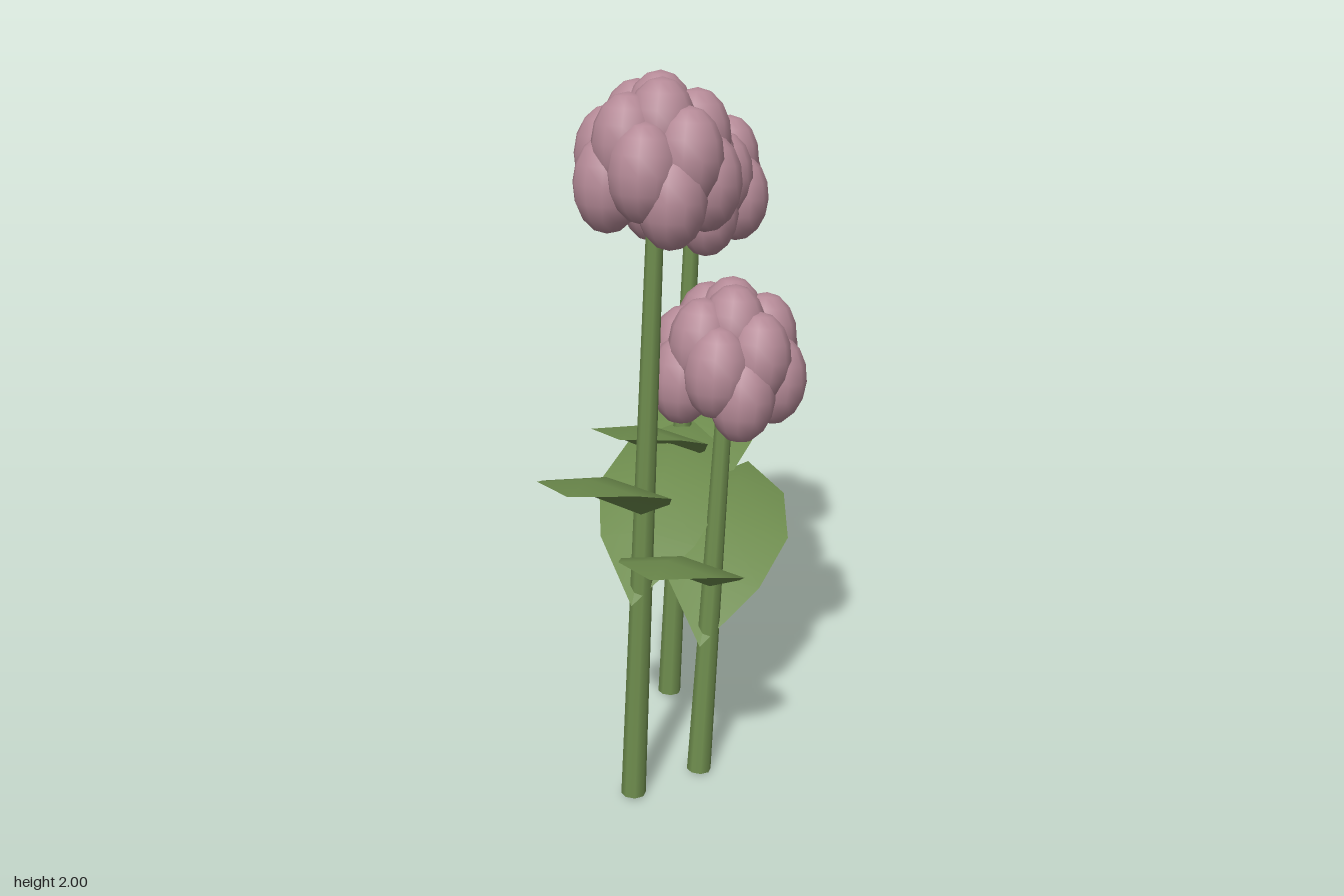
import * as THREE from 'three';

const petalPink = new THREE.MeshStandardMaterial({ color: 0xb58a97 });
petalPink.name = 'petalPink';
const leafGreen = new THREE.MeshStandardMaterial({ color: 0x6c8a4c, side: THREE.DoubleSide });
leafGreen.name = 'leafGreen';

const UP = new THREE.Vector3(0, 1, 0);
const LEAN = new THREE.Vector3(0.165, 0, -0.035);

function part(name, geometry, material) {
  const mesh = new THREE.Mesh(geometry, material);
  mesh.name = name;
  return mesh;
}

// Leaf with a raised midrib: four segments running from the base along (dx, dz)
function leafGeometry(dx, dz, width, rise) {
  const halfWidths = [0, 0.36, 0.5, 0.385, 0];
  const length = Math.hypot(dx, dz);
  const sx = -dz / length, sz = dx / length;
  const positions = [], index = [];
  halfWidths.forEach((w, i) => {
    const f = i / 4, half = w * width;
    for (const side of [-1, 0, 1]) {
      positions.push(
        dx * f + sx * side * half,
        rise[i] - Math.abs(side) * half * 0.2,
        dz * f + sz * side * half
      );
    }
    if (i === 4) return;
    for (let k = 0; k < 2; k++) {
      const a = i * 3 + k, b = a + 1, c = a + 3, d = a + 4;
      if (i > 0) index.push(a, b, c);
      if (i < 3) index.push(b, d, c);
      else index.push(a, b, c);
    }
  });
  // closing triangles next to the pointed base
  const geometry = new THREE.BufferGeometry();
  geometry.setAttribute('position', new THREE.Float32BufferAttribute(positions, 3));
  geometry.setIndex(index);
  geometry.computeVertexNormals();
  return geometry;
}

// Flower head: egg-shaped petals spread over a dome by the golden angle
function flowerHead() {
  const head = new THREE.Group();
  head.name = 'flowerHead';
  const petal = new THREE.SphereGeometry(1, 12, 8);
  const count = 15, radius = 0.132;
  for (let i = 0; i < count; i++) {
    const c = 1 - (i / (count - 1)) * 1.35;
    const r = radius * Math.sqrt(Math.max(0, 1 - c * c));
    const t = i * Math.PI * (3 - Math.sqrt(5));
    const mesh = part('petal', petal, petalPink);
    mesh.scale.set(0.09, 0.125, 0.09);
    mesh.position.set(Math.cos(t) * r, c * radius, Math.sin(t) * r);
    head.add(mesh);
  }
  return head;
}

function flower(x, z, height) {
  const group = new THREE.Group();
  group.name = 'flower';
  group.position.set(x, 0, z);

  const top = LEAN.clone().setY(height);
  const tilt = new THREE.Quaternion().setFromUnitVectors(UP, top.clone().normalize());

  // leaning, tapered stem
  const stem = part('stem', new THREE.CylinderGeometry(0.022, 0.035, top.length(), 8), leafGreen);
  stem.position.copy(top).multiplyScalar(0.5).add(new THREE.Vector3(0, 0.003, 0));
  stem.quaternion.copy(tilt);
  group.add(stem);

  const head = flowerHead();
  head.position.copy(top);
  head.quaternion.copy(tilt);
  group.add(head);

  // large low leaf and smaller high leaf
  const lowLeaf = part('lowLeaf', leafGeometry(0.64, -0.28, 0.376, [0, 0.14, 0.235, 0.29, 0.28]), leafGreen);
  lowLeaf.position.set(0, height * 0.345, 0);
  const highLeaf = part('highLeaf', leafGeometry(-0.46, 0.15, 0.34, [0, 0.125, 0.21, 0.255, 0.26]), leafGreen);
  highLeaf.position.set(0.045, height * 0.492, 0);
  group.add(lowLeaf, highLeaf);
  return group;
}

export function createModel() {
  const model = new THREE.Group();
  model.name = 'flowers';
  model.add(
    flower(-0.365, 0.135, 1.745),
    flower(0.125, -0.11, 1.585),
    flower(-0.16, 0.215, 1.185)
  );
  return model;
}
